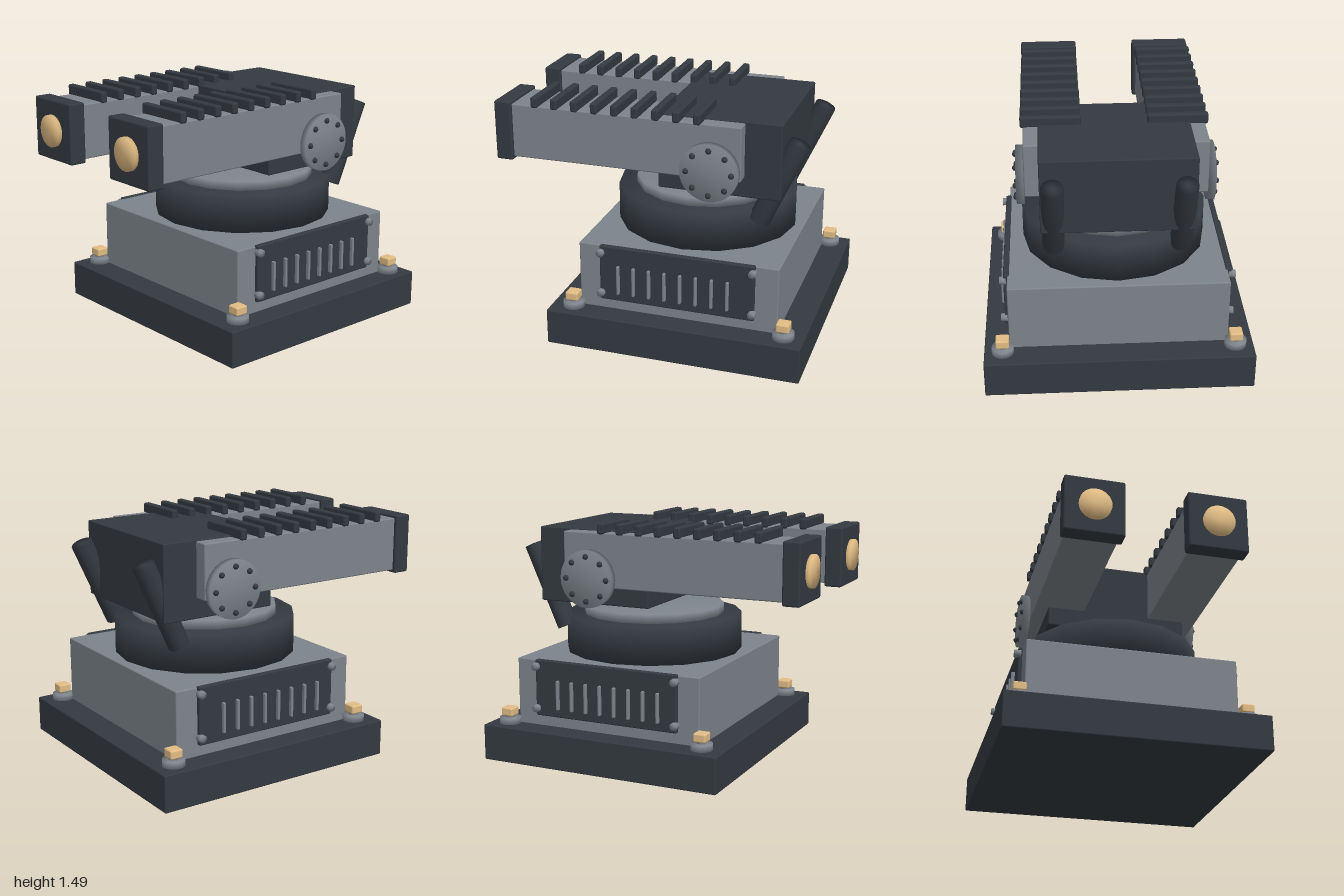
import * as THREE from 'three';
import { mergeVertices } from 'three/addons/utils/BufferGeometryUtils.js';
import { RoundedBoxGeometry } from 'three/addons/geometries/RoundedBoxGeometry.js';

const dark = new THREE.MeshStandardMaterial({ color: 0x343a41 });
const grey = new THREE.MeshStandardMaterial({ color: 0x7d848b });
const gold = new THREE.MeshStandardMaterial({ color: 0xe2bd85 });

const CZ = -0.21; // centre of base and turret along z

function add(parent, name, geometry, material, x = 0, y = 0, z = 0) {
  const mesh = new THREE.Mesh(geometry, material);
  mesh.name = name;
  mesh.position.set(x, y, z);
  parent.add(mesh);
  return mesh;
}

// Box with slightly softened edges, given by its extents
function box(parent, name, material, [x0, x1], [y0, y1], [z0, z1], r = 0.008) {
  const g = new RoundedBoxGeometry(x1 - x0, y1 - y0, z1 - z0, 2, r);
  return add(parent, name, g, material, (x0 + x1) / 2, (y0 + y1) / 2, (z0 + z1) / 2);
}

// Cylinder whose normals are shared between wall and caps
function softCylinder(r, h, sides) {
  const g = new THREE.CylinderGeometry(r, r, h, sides);
  g.deleteAttribute('normal');
  g.deleteAttribute('uv');
  const merged = mergeVertices(g);
  merged.computeVertexNormals();
  return merged;
}

// One gun arm with fins, muzzle, pivot and exhaust, on the side s = 1 or -1
function createArm(s) {
  const arm = new THREE.Group();
  arm.name = s > 0 ? 'leftArm' : 'rightArm';
  const cx = s * 0.376;
  const span = (half) => [cx - half, cx + half];
  box(arm, 'barrel', grey, span(0.162), [1.098, 1.432], [-0.555, 0.88]);
  box(arm, 'muzzle', dark, span(0.185), [1.08, 1.45], [0.868, 0.976], 0.012);
  const lens = add(arm, 'lens', softCylinder(0.098, 0.06, 32), gold, cx, 1.263, 0.97);
  lens.rotation.x = Math.PI / 2;

  // Cooling fins
  for (let i = 0; i < 9; i++) {
    const z = 0.718 - i * 0.1265;
    box(arm, 'fin', dark, span(0.18), [1.425, 1.492], [z - 0.022, z + 0.022], 0.012);
  }

  // Pivot disc with a ring of rivets
  const pivot = add(arm, 'pivotDisc', softCylinder(0.177, 0.045, 32), grey, s * 0.563, 1.153, -0.376);
  pivot.rotation.z = Math.PI / 2;
  for (let i = 0; i < 8; i++) {
    const a = (i / 8) * Math.PI * 2;
    add(arm, 'pivotRivet', new THREE.SphereGeometry(0.018, 12, 8), dark,
      s * 0.587, 1.153 + 0.137 * Math.cos(a), -0.376 + 0.137 * Math.sin(a));
  }

  // Slanted exhaust pipe at the back
  const pipe = add(arm, 'exhaustPipe', softCylinder(0.066, 0.553, 16), dark, cx, 1.066, -0.747);
  pipe.rotation.x = -0.425;
  return arm;
}

// Louvred panel on a side wall
function createPanel(s) {
  const panel = new THREE.Group();
  panel.name = s > 0 ? 'leftPanel' : 'rightPanel';
  box(panel, 'panelPlate', dark, s > 0 ? [0.645, 0.681] : [-0.681, -0.645], [0.293, 0.647], [-0.69, 0.272]);
  for (let i = 0; i < 8; i++) {
    const z = 0.152 - i * 0.0973;
    box(panel, 'louvre', grey, s > 0 ? [0.67, 0.703] : [-0.703, -0.67], [0.343, 0.53], [z - 0.009, z + 0.009], 0.007);
  }
  for (const z of [0.262, -0.68]) {
    for (const y of [0.34, 0.605]) {
      const screw = add(panel, 'panelScrew', softCylinder(0.024, 0.04, 16), grey, s * 0.685, y, z);
      screw.rotation.z = Math.PI / 2;
    }
  }
  return panel;
}

// Anchor bolt at a base corner
function createAnchor(x, z) {
  const anchor = new THREE.Group();
  anchor.name = 'anchorBolt';
  anchor.position.set(x, 0, z);
  add(anchor, 'washer', softCylinder(0.066, 0.05, 20), grey, 0, 0.24, 0);
  add(anchor, 'shank', new THREE.CylinderGeometry(0.03, 0.03, 0.04, 12), grey, 0, 0.27, 0);
  box(anchor, 'boltHead', gold, [-0.04, 0.04], [0.275, 0.329], [-0.04, 0.04], 0.01);
  return anchor;
}

export function createModel() {
  const model = new THREE.Group();
  model.name = 'turret';

  // Base and housing
  box(model, 'basePlate', dark, [-0.806, 0.806], [0, 0.226], [-1, 0.58]);
  box(model, 'housing', grey, [-0.657, 0.657], [0.215, 0.641], [-0.83, 0.41]);

  // Turntable
  add(model, 'turntable', softCylinder(0.564, 0.245, 16), dark, 0, 0.7535, CZ);
  add(model, 'turntableDisc', softCylinder(0.45, 0.07, 16), grey, 0, 0.897, CZ);

  // Head between the arms
  box(model, 'head', dark, [-0.45, 0.45], [0.975, 1.441], [-0.774, -0.025]);

  for (const s of [1, -1]) {
    model.add(createArm(s), createPanel(s));
    for (const z of [0.442, -0.875]) model.add(createAnchor(s * 0.695, z));
  }
  return model;
}
